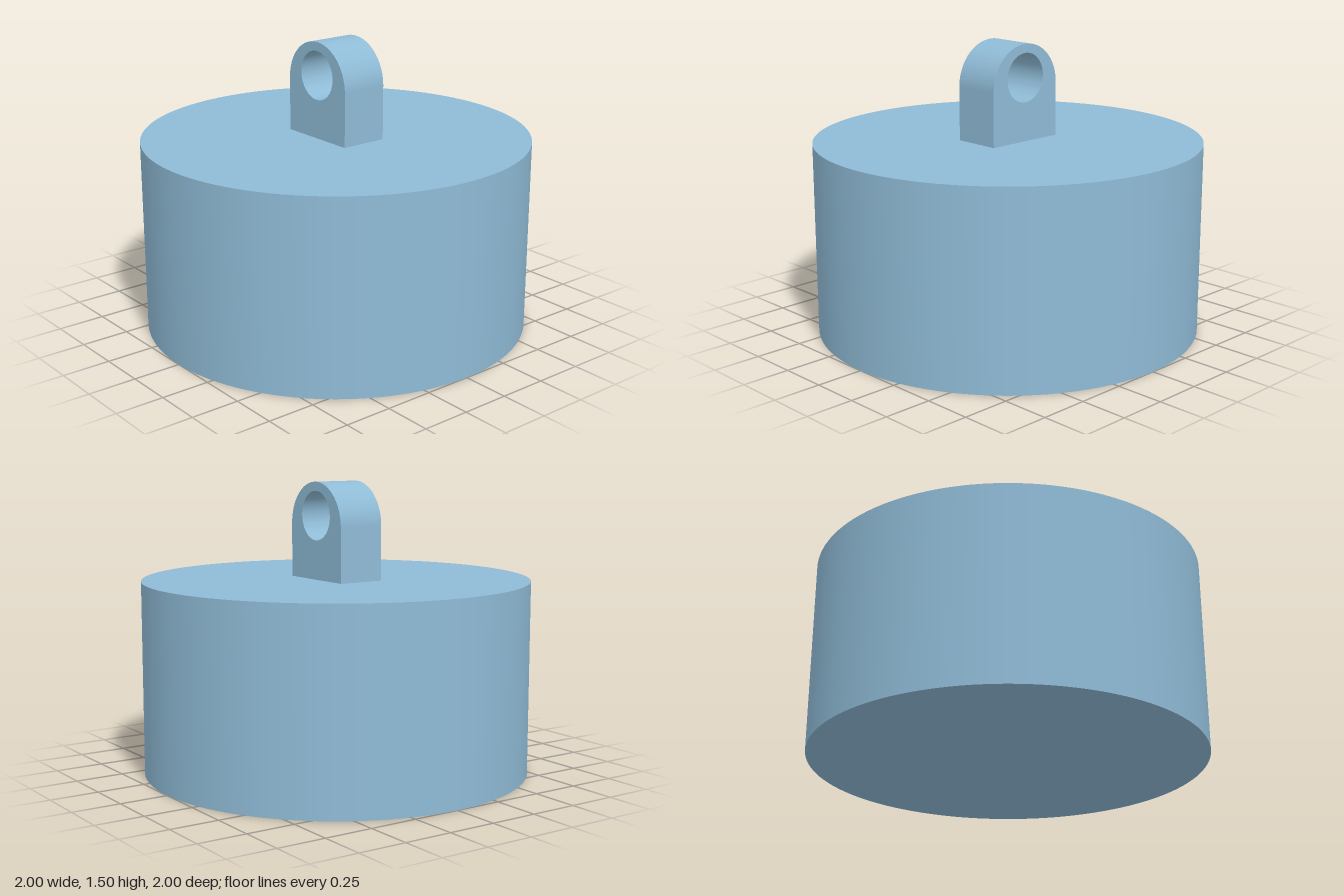
import * as THREE from 'three';
import { toCreasedNormals } from 'three/addons/utils/BufferGeometryUtils.js';

export function createModel() {
  const group = new THREE.Group();
  const material = new THREE.MeshStandardMaterial({ color: 0x8fbbd6 });

  // Solid cylindrical weight
  const bodyHeight = 1;
  const body = new THREE.Mesh(new THREE.CylinderGeometry(1, 1, bodyHeight, 128), material);
  body.name = 'body';
  body.position.y = bodyHeight / 2;
  group.add(body);

  // Hanging lug: straight sides, round top, round eye through it
  const halfWidth = 0.222, height = 0.5, depth = 0.25;
  const outline = new THREE.Shape();
  outline.moveTo(-halfWidth, 0);
  outline.lineTo(halfWidth, 0);
  outline.lineTo(halfWidth, height - halfWidth);
  outline.absarc(0, height - halfWidth, halfWidth, 0, Math.PI, false);
  outline.closePath();

  const eye = new THREE.Path();
  eye.absarc(0, 0.328, 0.126, 0, Math.PI * 2, true);
  outline.holes.push(eye);

  const lugGeometry = new THREE.ExtrudeGeometry(outline, {
    depth, bevelEnabled: false, curveSegments: 40,
  });
  lugGeometry.translate(0, 0, -depth / 2);
  const lug = new THREE.Mesh(toCreasedNormals(lugGeometry, Math.PI / 6), material);
  lug.name = 'hangingLug';
  lug.position.y = bodyHeight;
  group.add(lug);

  return group;
}
